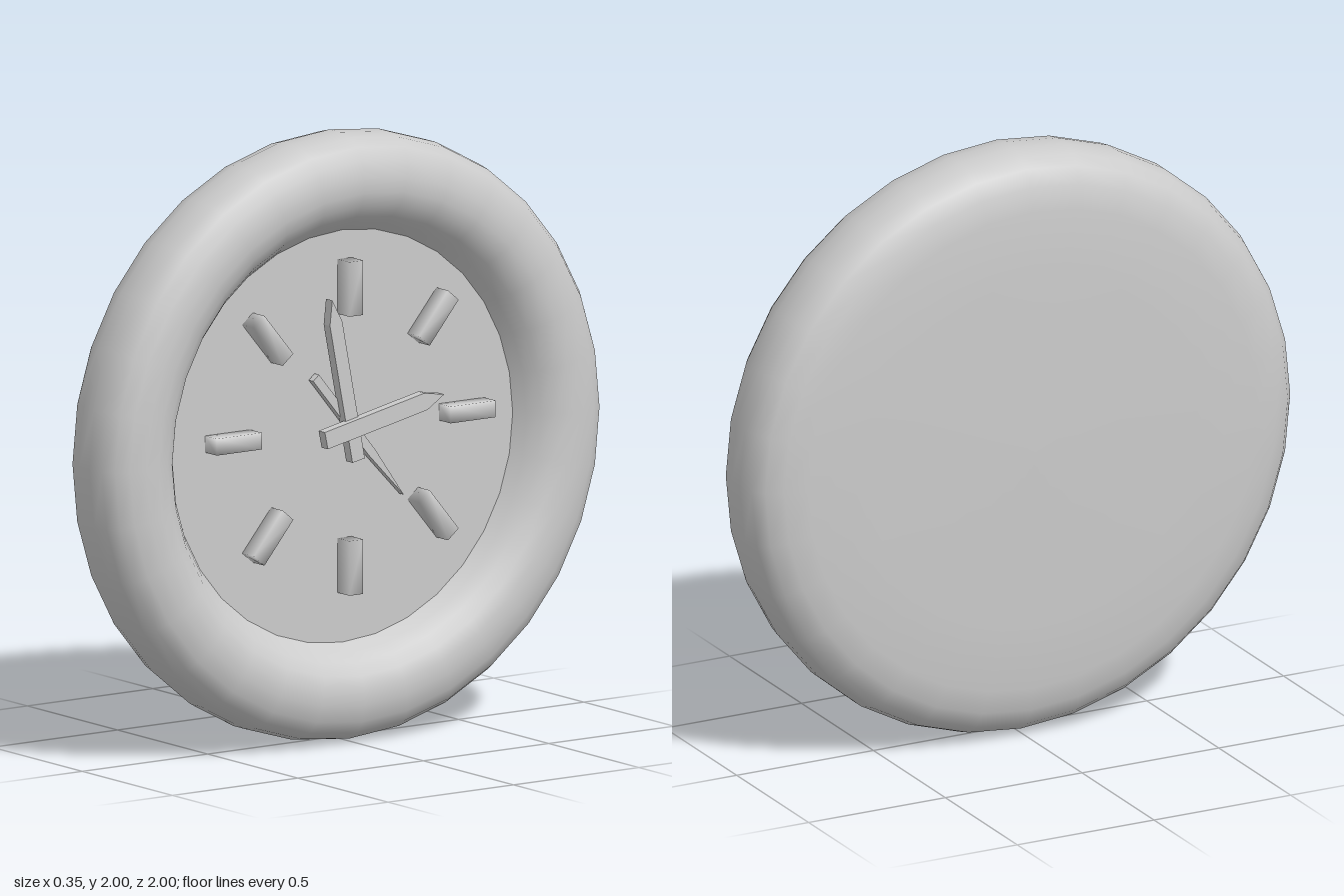
import * as THREE from 'three';
import { mergeVertices } from 'three/addons/utils/BufferGeometryUtils.js';

const material = new THREE.MeshStandardMaterial({ color: 0xcccccc });
const DIAL = 0.05; // depth of the dial plane

function part(name, geometry, parent) {
  const mesh = new THREE.Mesh(geometry, material);
  mesh.name = name;
  parent.add(mesh);
  return mesh;
}

// Pointed bar from tail to tip, lying flat at the given depth
function hand(name, tail, tip, width, point, depth, thickness, parent) {
  const dx = tip[0] - tail[0], dy = tip[1] - tail[1];
  const length = Math.hypot(dx, dy), w = width / 2;
  const shape = new THREE.Shape([
    new THREE.Vector2(-w, 0), new THREE.Vector2(w, 0),
    new THREE.Vector2(w, length - point), new THREE.Vector2(0, length),
    new THREE.Vector2(-w, length - point),
  ]);
  const geometry = new THREE.ExtrudeGeometry(shape, { depth: thickness, bevelEnabled: false });
  const mesh = part(name, geometry, parent);
  mesh.position.set(tail[0], tail[1], depth);
  mesh.rotation.z = Math.atan2(-dx, dy);
}

export function createModel() {
  const model = new THREE.Group();
  model.name = 'wallClock';

  // Built facing +z around the origin, then turned to face +x
  const clock = new THREE.Group();
  clock.name = 'clock';
  clock.rotation.y = Math.PI / 2;
  clock.position.y = 1;
  model.add(clock);

  // Case: shallow back, rounded rim and inner slope down to the dial
  const profile = [
    [0, -0.176], [0.6, -0.17], [0.82, -0.158], [0.9, -0.142], [0.955, -0.115],
    [0.985, -0.075], [1, -0.02], [1, 0.04], [0.99, 0.095], [0.965, 0.135],
    [0.925, 0.162], [0.87, 0.175], [0.82, 0.174], [0.775, 0.16], [0.735, 0.13],
    [0.705, 0.09], [0.68, DIAL],
  ].map(([r, z]) => new THREE.Vector2(r, z));
  part('case', new THREE.LatheGeometry(profile, 32).rotateX(Math.PI / 2), clock);

  // Dial
  part('dial', new THREE.CircleGeometry(0.69, 32), clock).position.z = DIAL;

  // Hour markers and hands share a slightly raised centre
  const face = new THREE.Group();
  face.name = 'face';
  face.position.set(0.01, 0.035, 0);
  clock.add(face);

  // Softly shaded block markers
  let block = new THREE.BoxGeometry(0.055, 0.18, 0.065);
  block.deleteAttribute('normal');
  block.deleteAttribute('uv');
  block = mergeVertices(block);
  block.computeVertexNormals();
  for (let i = 0; i < 8; i++) {
    const a = (i * Math.PI) / 4;
    const marker = part('hourMarker', block, face);
    marker.position.set(0.466 * Math.sin(a), 0.46 * Math.cos(a), DIAL + 0.032);
    // Diagonal markers lean a little off the radius
    const lean = i % 2 ? (i % 4 === 1 ? 0.09 : -0.09) : 0;
    marker.rotation.z = -a + lean;
  }

  // Hands, stacked from the dial outwards
  hand('secondHand', [-0.135, 0.175], [0.215, -0.25], 0.03, 0.2, DIAL + 0.005, 0.025, face);
  hand('minuteHand', [0.015, -0.11], [-0.09, 0.43], 0.05, 0.08, DIAL + 0.022, 0.035, face);
  hand('hourHand', [-0.13, -0.025], [0.34, 0.075], 0.058, 0.075, DIAL + 0.045, 0.035, face);

  return model;
}
